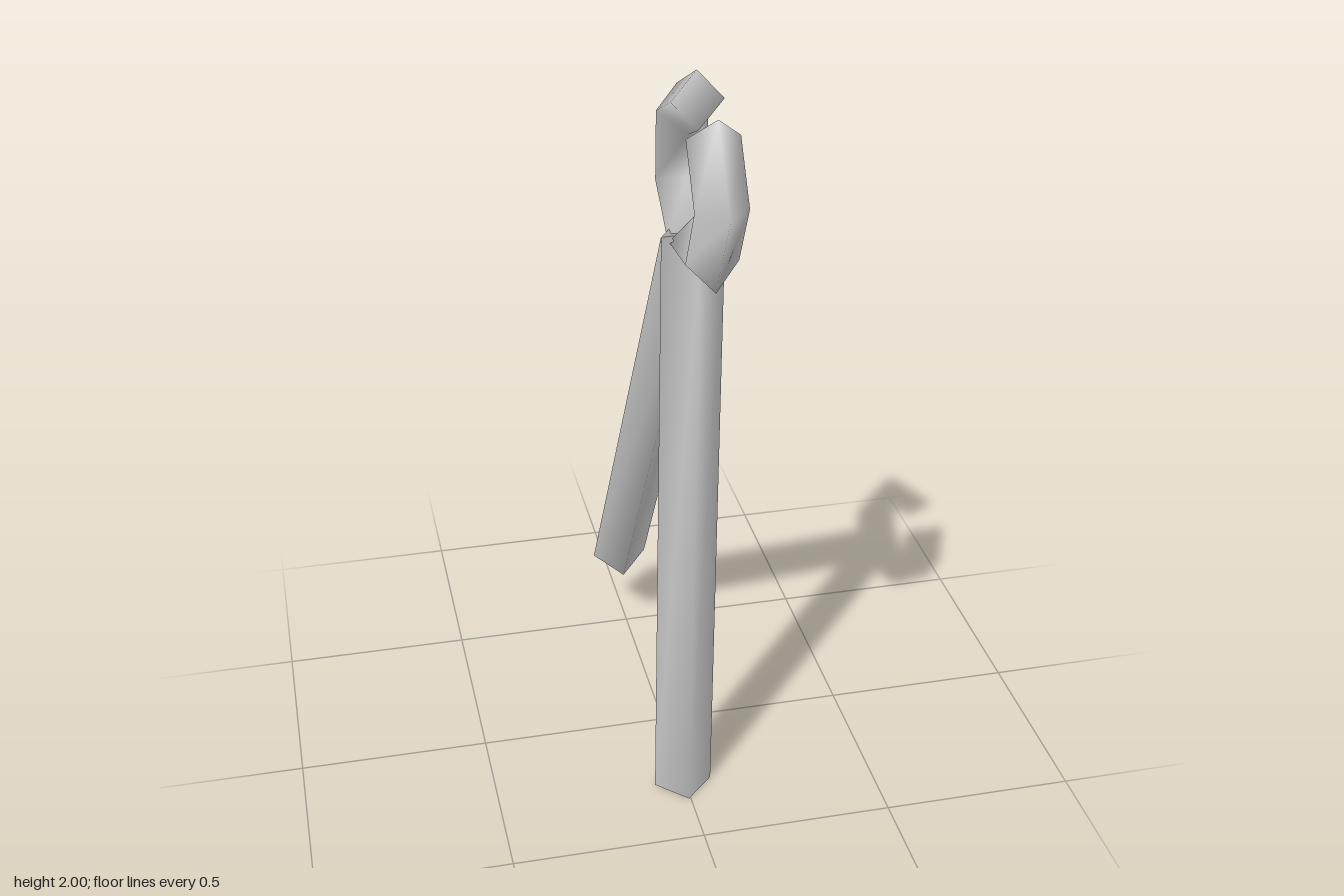
import * as THREE from 'three';

// Smooth four-sided bar swept through sections [outerZ, outerY, innerZ, innerY].
// Its centre drifts sideways from x0 to x1; half is the half width in x.
function bar(name, sections, half, x0, x1) {
  const pos = [], idx = [], n = sections.length;
  sections.forEach(([oz, oy, iz, iy], i) => {
    const x = x0 + (x1 - x0) * i / (n - 1);
    const z = (oz + iz) / 2, y = (oy + iy) / 2;
    pos.push(x, oy, oz, x + half, y, z, x, iy, iz, x - half, y, z);
  });
  for (let i = 0; i < n - 1; i++) {
    for (let k = 0; k < 4; k++) {
      const a = i * 4 + k, b = i * 4 + (k + 1) % 4;
      idx.push(a, b, b + 4, a, b + 4, a + 4);
    }
  }
  // end caps share vertices with the sides
  const e = (n - 1) * 4;
  idx.push(0, 3, 2, 0, 2, 1, e, e + 1, e + 2, e, e + 2, e + 3);

  const geo = new THREE.BufferGeometry();
  geo.setAttribute('position', new THREE.Float32BufferAttribute(pos, 3));
  geo.setIndex(idx);
  geo.computeVertexNormals();
  const mesh = new THREE.Mesh(geo, new THREE.MeshStandardMaterial({ color: 0xcccccc }));
  mesh.name = name;
  return mesh;
}

export function createModel() {
  const model = new THREE.Group();
  model.name = 'tongs';

  // upright front handle, bottom to top
  model.add(bar('frontHandle', [
    [0.35, 0, 0.2, 0],
    [0.358, 1.6, 0.205, 1.6],
  ], 0.076, -0.005, 0.01));

  // slanted rear handle, pivot to free end
  model.add(bar('rearHandle', [
    [0.213, 1.636, 0.345, 1.562],
    [-0.592, 0.262, -0.462, 0.187],
  ], 0.076, 0.01, -0.015));

  // front jaw, pivot to tip
  model.add(bar('frontJaw', [
    [0.285, 1.53, 0.29, 1.653],
    [0.485, 1.545, 0.41, 1.664],
    [0.595, 1.76, 0.453, 1.757],
    [0.474, 1.95, 0.39, 1.84],
  ], 0.062, 0.013, 0.017));

  // rear jaw, tip to pivot
  model.add(bar('rearJaw', [
    [0.289, 2.0, 0.31, 1.865],
    [0.093, 1.902, 0.209, 1.818],
    [0.076, 1.659, 0.209, 1.717],
    [0.24, 1.54, 0.294, 1.65],
  ], 0.062, 0.013, 0.013));

  return model;
}
